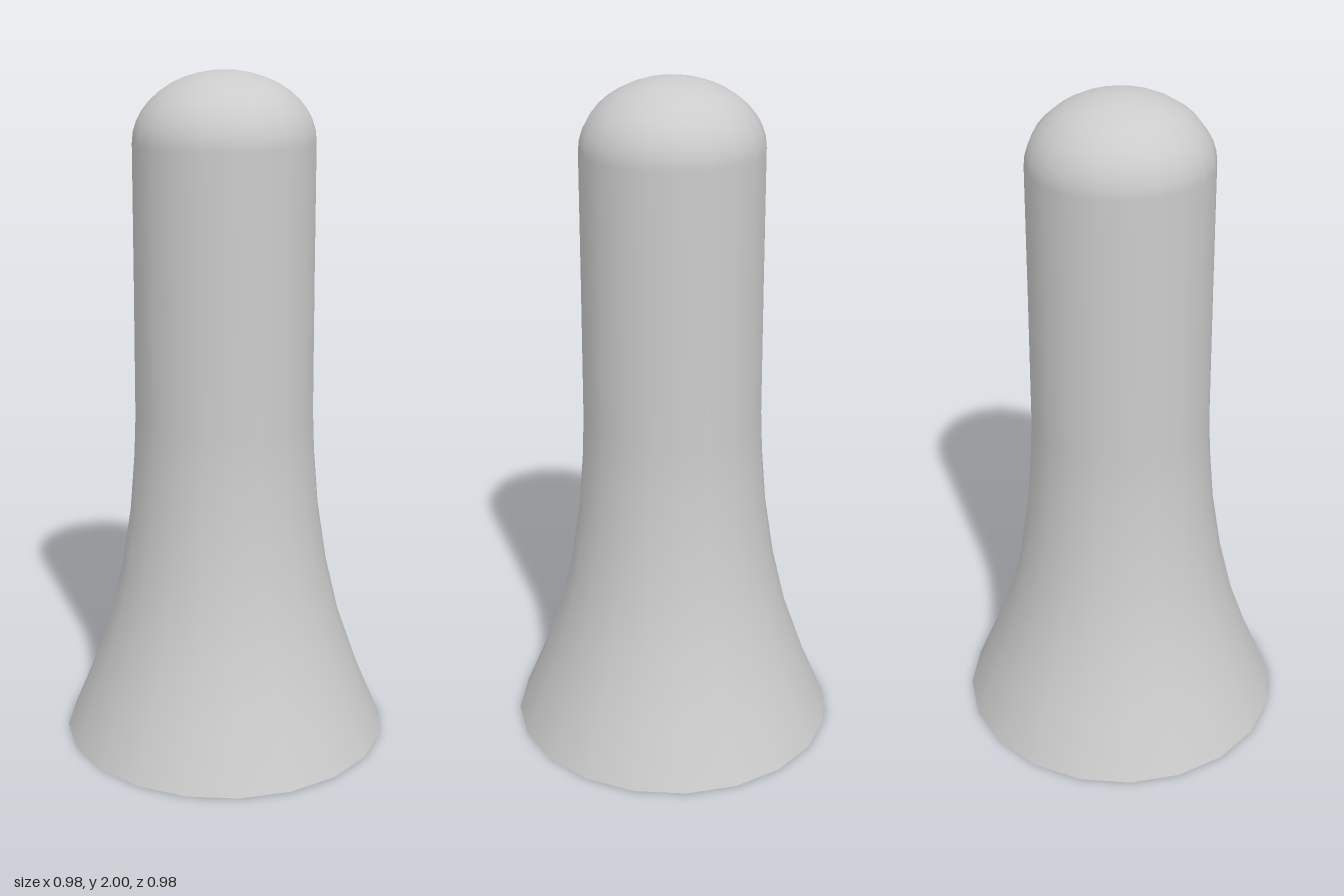
import * as THREE from 'three';

export function createModel() {
  const group = new THREE.Group();
  const material = new THREE.MeshStandardMaterial({ color: 0xcccccc, side: THREE.DoubleSide });

  // Flared skirt rising into a nearly straight shaft
  const profile = [
    [0.49, 0], [0.415, 0.18], [0.352, 0.36], [0.312, 0.53],
    [0.284, 0.71], [0.27, 0.88], [0.265, 1.0], [0.263, 1.4],
  ].map(([r, y]) => new THREE.Vector2(r, y));

  // Flattened dome closing the top
  const steps = 10;
  for (let i = 0; i <= steps; i++) {
    const a = (i / steps) * Math.PI / 2;
    profile.push(new THREE.Vector2(i === steps ? 0 : 0.262 * Math.cos(a), 1.8 + 0.2 * Math.sin(a)));
  }

  // Hollow shell, open at the base
  const shell = new THREE.Mesh(new THREE.LatheGeometry(profile, 20), material);
  shell.name = 'flaredShell';
  group.add(shell);
  return group;
}
